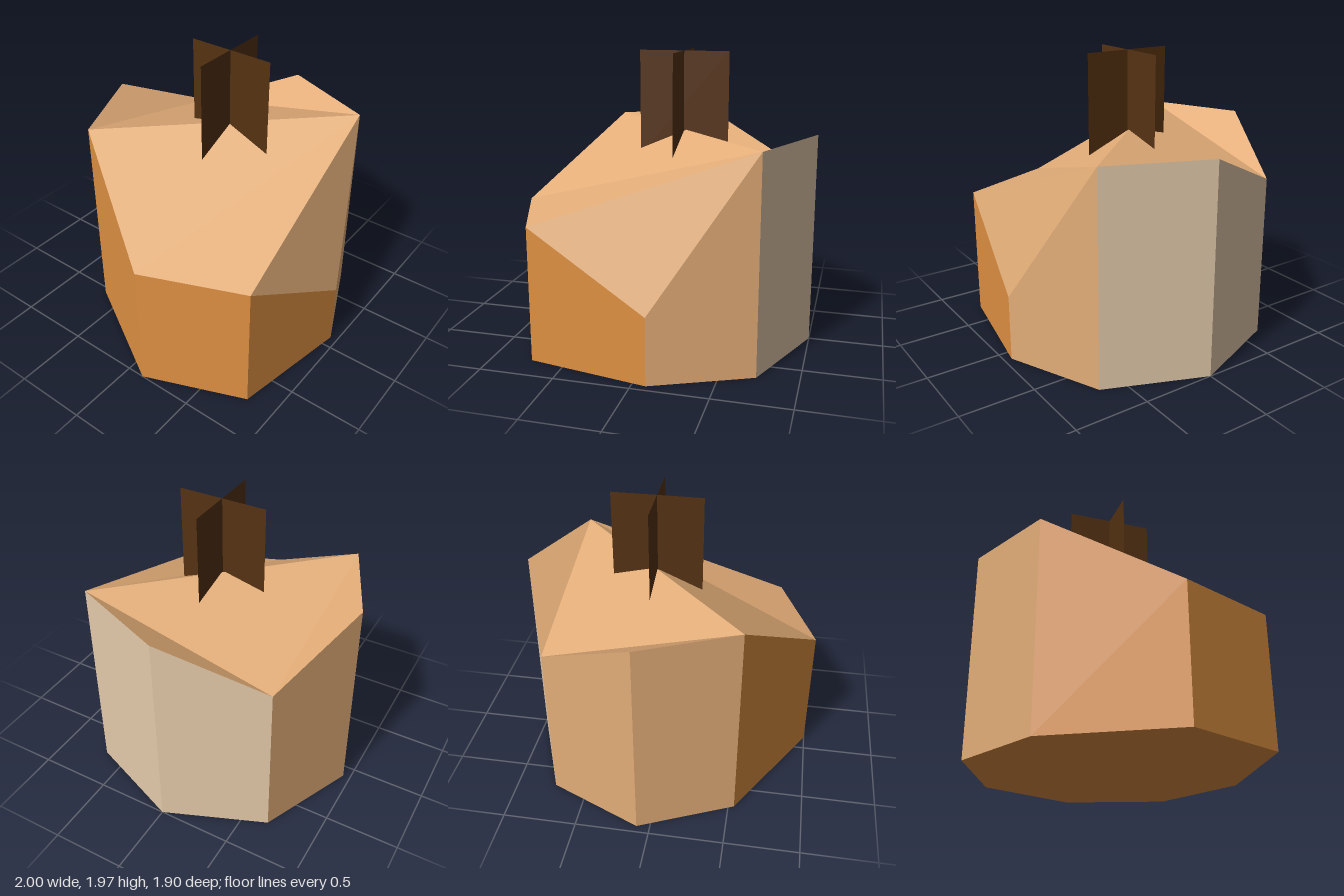
import * as THREE from 'three';

const material = (name, color, side = THREE.FrontSide) => {
  const m = new THREE.MeshStandardMaterial({ color, side });
  m.name = name;
  return m;
};

// Outline corners, clockwise from the back: x, z and the height of the wall there
const RING = [
  [0.09, -0.95, 1.44],
  [0.73, -0.67, 1.13],
  [1.0, 0.0, 1.44],
  [0.73, 0.67, 1.44],
  [0.09, 0.95, 0.45],
  [-0.73, 0.8, 0.91],
  [-1.0, 0.12, 0.91],
  [-0.54, -0.67, 1.44],
];
const low = (i) => [RING[i][0], 0, RING[i][1]];
const high = (i) => [RING[i][0], RING[i][2], RING[i][1]];

// Unshared triangles give every facet its own flat normal
function facets(name, triangles, mat) {
  const geometry = new THREE.BufferGeometry();
  geometry.setAttribute('position', new THREE.Float32BufferAttribute(triangles.flat(2), 3));
  geometry.computeVertexNormals();
  const mesh = new THREE.Mesh(geometry, mat);
  mesh.name = name;
  return mesh;
}

// Upright wall panels, each running from corner i to the next one
function walls(name, starts, mat) {
  const triangles = starts.flatMap((i) => {
    const j = (i + 1) % RING.length;
    return [[low(j), low(i), high(i)], [low(j), high(i), high(j)]];
  });
  return facets(name, triangles, mat);
}

export function createModel() {
  const tan = material('tan', 0xe3ad78);
  const pale = material('pale beige', 0xe5cbab);
  const orange = material('orange brown', 0xe09143);
  const dark = material('dark brown', 0x553212, THREE.DoubleSide);

  const model = new THREE.Group();
  model.name = 'facetedBlock';

  // Walls by colour
  model.add(walls('tanWalls', [7, 0, 3], tan));
  model.add(walls('paleWalls', [1, 2], pale));
  model.add(walls('orangeWalls', [4, 5, 6], orange));

  // Uneven top
  const top = [[7, 1, 0], [1, 3, 2], [7, 3, 1], [7, 6, 3], [6, 5, 3], [5, 4, 3]];
  model.add(facets('top', top.map((t) => t.map(high)), tan));

  // Flat underside
  const base = [1, 2, 3, 4, 5, 6].map((i) => [low(0), low(i), low(i + 1)]);
  model.add(facets('underside', base, orange));

  // Stem of two crossed sheets, sunk into the top
  const stem = new THREE.Group();
  stem.name = 'stem';
  const sheet = new THREE.PlaneGeometry(0.61, 0.71);
  for (const [name, turn] of [['stemSheetAcross', 0], ['stemSheetAlong', Math.PI / 2]]) {
    const mesh = new THREE.Mesh(sheet, dark);
    mesh.name = name;
    mesh.rotation.y = turn;
    stem.add(mesh);
  }
  stem.position.set(0.102, 1.615, 0.025);
  model.add(stem);

  return model;
}
